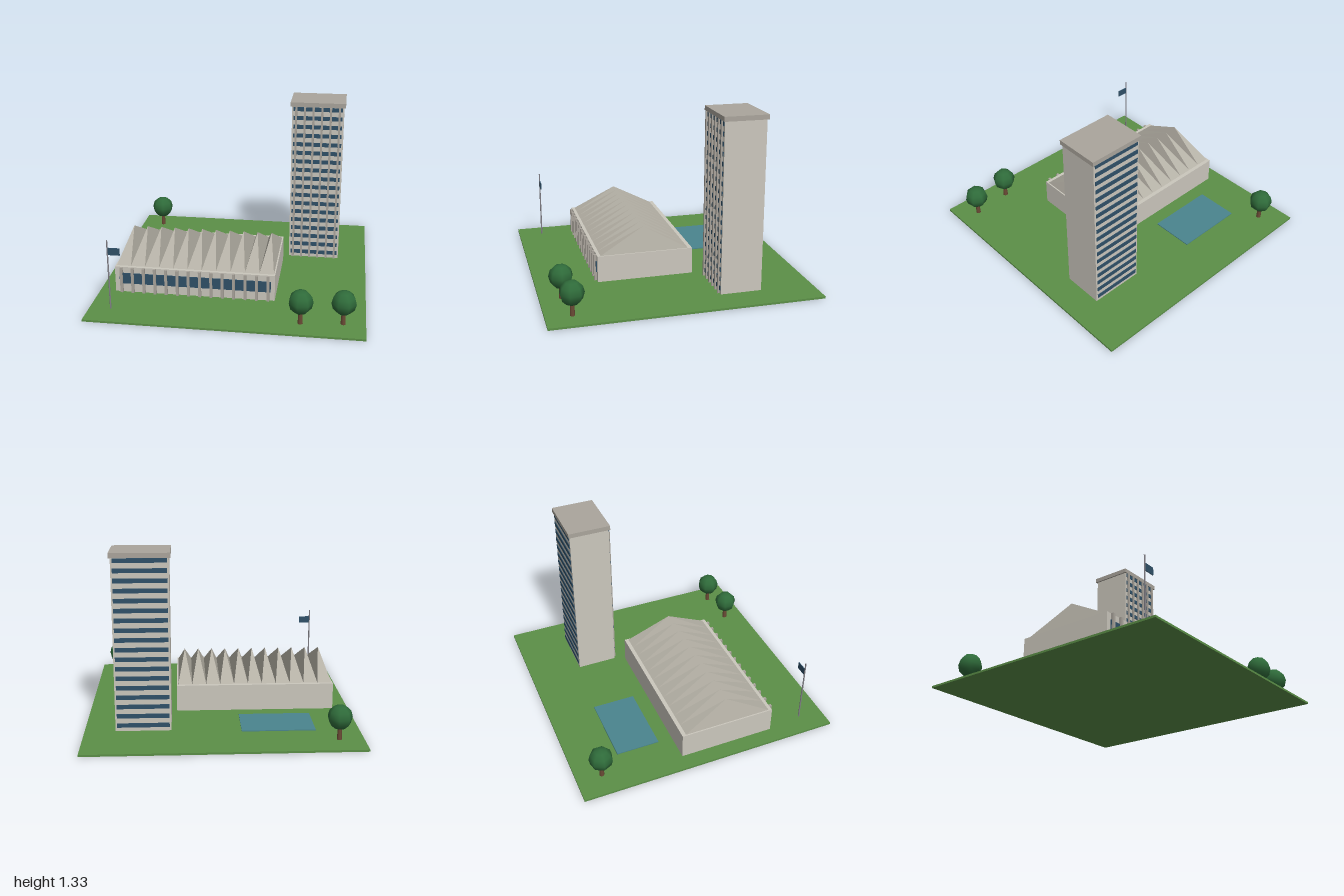
import * as THREE from 'three';

const mat = (name, color, extra = {}) => {
  const m = new THREE.MeshStandardMaterial({ color, ...extra });
  m.name = name;
  return m;
};

export function createModel() {
  const grass = mat('grass', 0x5b8f47);
  const concrete = mat('light concrete', 0xcbc7bd);
  const roofConcrete = mat('roof concrete', 0xb4b0a5, { flatShading: true });
  const trim = mat('grey trim', 0xaaa59c);
  const glass = mat('blue glass', 0x2f5068);
  const water = mat('water', 0x4a858e);
  const leaf = mat('leaves', 0x2f6b3a);
  const bark = mat('bark', 0x6b4a35);
  const metal = mat('pole metal', 0x85838a);

  const model = new THREE.Group();
  const GROUND = 0.015;

  const group = (name, parent = model) => {
    const g = new THREE.Group();
    g.name = name;
    parent.add(g);
    return g;
  };
  const add = (parent, name, geo, material, x, y, z) => {
    const m = new THREE.Mesh(geo, material);
    m.name = name;
    m.position.set(x, y, z);
    parent.add(m);
    return m;
  };
  // Box given by its two corners on each axis
  const box = (parent, name, material, [x0, x1], [y0, y1], [z0, z1]) =>
    add(parent, name, new THREE.BoxGeometry(x1 - x0, y1 - y0, z1 - z0), material,
      (x0 + x1) / 2, (y0 + y1) / 2, (z0 + z1) / 2);

  // Lawn and pool
  box(model, 'lawn', grass, [-1, 1], [0, GROUND], [-1, 1]);
  box(model, 'pool', water, [-0.68, -0.14], [GROUND, 0.022], [-0.64, -0.31]);

  // Low hall with a window band and upright fins
  const hall = group('hall');
  box(hall, 'hallBody', concrete, [-0.88, 0.33], [GROUND, 0.218], [-0.2, 0.535]);
  box(hall, 'hallWindow', glass, [-0.845, 0.3], [0.085, 0.17], [0.535, 0.542]);
  for (let i = 0; i < 14; i++) {
    const x = -0.83 + i * 0.0854;
    box(hall, 'hallFin', trim, [x - 0.01, x + 0.01], [GROUND, 0.218], [0.535, 0.555]);
  }

  // Folded roof: a row of narrow four-sided pyramids
  const folds = 11, pitch = 1.19 / folds, foldHeight = 0.187;
  const pyramid = new THREE.ConeGeometry(Math.SQRT1_2, 1, 4);
  pyramid.rotateY(Math.PI / 4);
  pyramid.scale(pitch, foldHeight, 0.68);
  for (let i = 0; i < folds; i++) {
    add(hall, 'roofFold', pyramid, roofConcrete,
      -0.87 + (i + 0.5) * pitch, 0.218 + foldHeight / 2, 0.17);
  }

  // Tower with window bands on front and back, fins on the front
  const tower = group('tower');
  box(tower, 'towerBody', concrete, [0.37, 0.775], [GROUND, 1.29], [-0.592, -0.282]);
  box(tower, 'towerCap', trim, [0.358, 0.787], [1.29, 1.325], [-0.603, -0.273]);
  for (let i = 0; i < 18; i++) {
    const y = 0.059 + i * 0.0713;
    for (const z of [-0.282, -0.597]) {
      box(tower, 'towerWindow', glass, [0.382, 0.763], [y - 0.016, y + 0.016], [z, z + 0.005]);
    }
  }
  for (let i = 0; i < 6; i++) {
    const x = 0.403 + i * 0.0676;
    box(tower, 'towerFin', trim, [x - 0.008, x + 0.008], [GROUND, 1.29], [-0.282, -0.266]);
  }

  // Trees
  const trunk = new THREE.CylinderGeometry(0.014, 0.019, 0.11, 7);
  const crown = new THREE.SphereGeometry(0.09, 7, 6);
  [[-0.82, -0.81, 0], [0.54, 0.84, 0.45], [0.84, 0.81, 0.2]].forEach(([x, z, turn]) => {
    const tree = group('tree');
    tree.position.set(x, GROUND, z);
    tree.rotation.y = turn;
    add(tree, 'trunk', trunk, bark, 0, 0.055, 0);
    add(tree, 'crown', crown, leaf, 0, 0.168, 0);
  });

  // Flagpole
  const flagpole = group('flagpole');
  add(flagpole, 'pole', new THREE.CylinderGeometry(0.005, 0.006, 0.54, 8), metal,
    -0.842, GROUND + 0.27, 0.81);
  box(flagpole, 'flag', glass, [-0.838, -0.752], [0.442, 0.497], [0.807, 0.813]);

  return model;
}
